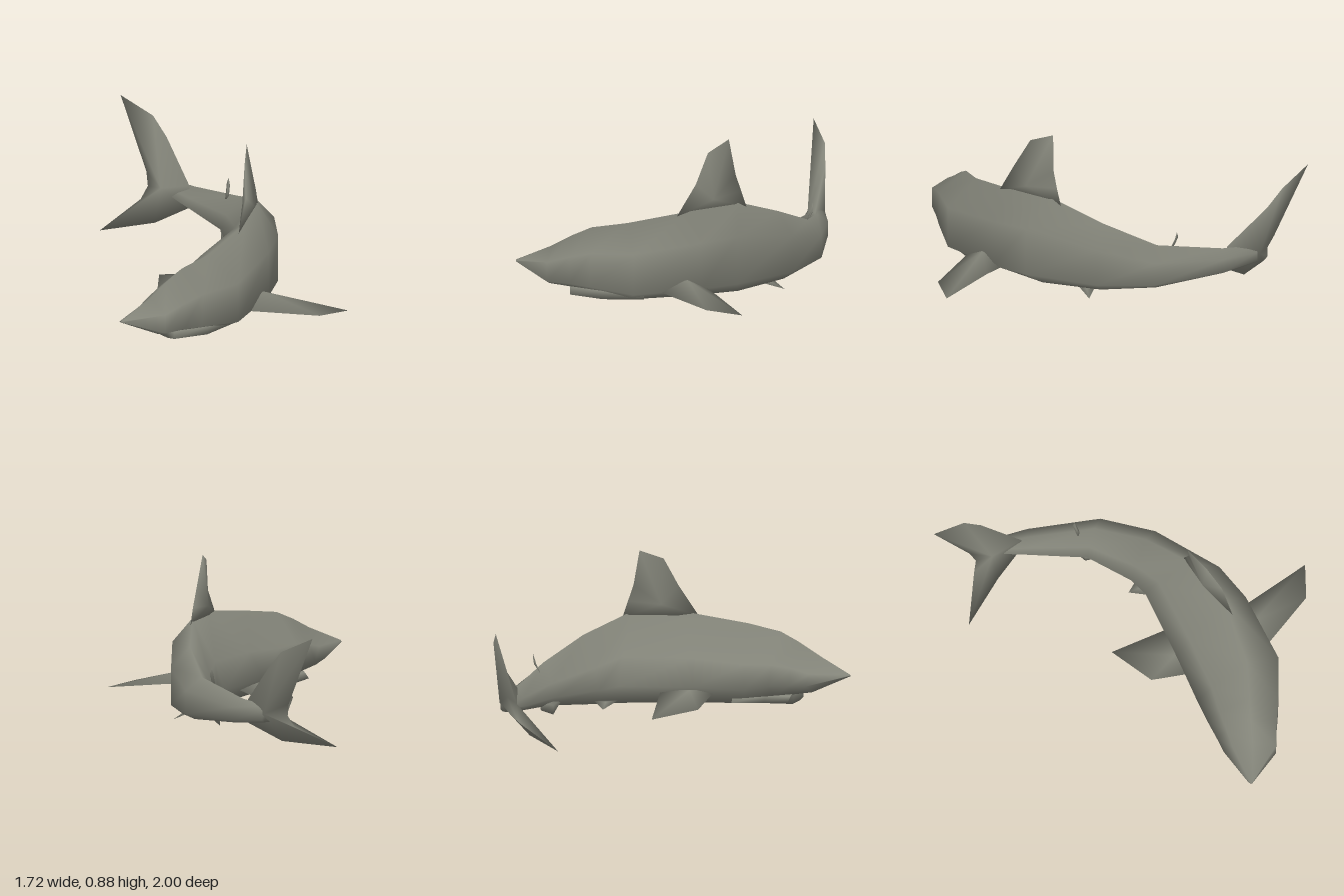
import * as THREE from 'three';

const skin = new THREE.MeshStandardMaterial({ color: 0x828378 });
skin.name = 'grey skin';

function mesh(name, positions, indices) {
  const g = new THREE.BufferGeometry();
  g.setAttribute('position', new THREE.Float32BufferAttribute(positions, 3));
  g.setIndex(indices);
  g.computeVertexNormals();
  const m = new THREE.Mesh(g, skin);
  m.name = name;
  return m;
}

// Sections follow the bend of the swimming body:
// inner x, z, outer x, z, top y, sideways lean of the ridge, bottom y
const bodySections = [
  [-0.10, 0.99, -0.085, 1.0, 0.23, 0, 0.22],
  [-0.11, 0.75, 0.13, 0.90, 0.32, 0.1, 0.125],
  [-0.10, 0.66, 0.20, 0.795, 0.38, 0.15, 0.11],
  [-0.09, 0.55, 0.27, 0.70, 0.43, 0.2, 0.09],
  [-0.07, 0.42, 0.40, 0.50, 0.46, 0.22, 0.05],
  [-0.03, 0.15, 0.43, 0.12, 0.515, 0.4, 0.05],
  [0.02, -0.25, 0.40, -0.10, 0.53, 0.22, 0.05],
  [0.0, -0.36, 0.23, -0.48, 0.43, 0.2, 0.06],
  [-0.13, -0.60, 0.03, -0.72, 0.32, 0.1, 0.09],
  [-0.41, -0.79, -0.33, -0.89, 0.26, 0, 0.13],
  [-0.57, -0.89, -0.53, -0.945, 0.25, 0, 0.16],
];
const jawSections = [
  [-0.06, 0.66, 0.13, 0.765, 0.14, 0, 0.055],
  [-0.04, 0.53, 0.27, 0.63, 0.14, 0, 0.05],
  [-0.01, 0.36, 0.35, 0.42, 0.13, 0, 0.05],
];

function loft(name, sections) {
  const pos = [], idx = [];
  // Ring as (sideways -1 inner .. 1 outer, height 0 .. 1)
  const rim = [[1, 0.68], [1, 0.13], [0.5, 0], [-0.4, 0], [-1, 0.24], [-0.65, 0.55]];
  for (const [ix, iz, ox, oz, top, lean, bottom] of sections) {
    for (const [u, v] of [[lean, 1], ...rim]) {
      const t = (u + 1) / 2;
      pos.push(ix + (ox - ix) * t, bottom + (top - bottom) * v, iz + (oz - iz) * t);
    }
  }
  const n = rim.length + 1, last = (sections.length - 1) * n;
  for (let s = 0; s < sections.length - 1; s++) {
    for (let i = 0; i < n; i++) {
      const a = s * n + i, b = s * n + (i + 1) % n;
      idx.push(a, b, a + n, b, b + n, a + n);
    }
  }
  for (let i = 1; i < n - 1; i++) {
    idx.push(0, i + 1, i, last, last + i, last + i + 1);
  }
  return mesh(name, pos, idx);
}

// Smooth fin with a thin rim, thickest at the core point
function fin(name, rim, core, thickness) {
  const idx = [], n = rim.length;
  const pos = rim.flat();
  for (const side of [1, -1]) pos.push(...core.map((v, i) => v + side * thickness[i]));
  // Find which way the rim turns, so both faces point outwards
  const area = new THREE.Vector3(), c = new THREE.Vector3(...core);
  rim.forEach((p, i) => {
    const a = new THREE.Vector3(...p).sub(c);
    area.add(a.cross(new THREE.Vector3(...rim[(i + 1) % n]).sub(c)));
  });
  const along = area.dot(new THREE.Vector3(...thickness)) > 0;
  const front = along ? n : n + 1, back = along ? n + 1 : n;
  for (let i = 0; i < n; i++) {
    const j = (i + 1) % n;
    idx.push(front, i, j, back, j, i);
  }
  return mesh(name, pos, idx);
}

export function createModel() {
  const shark = new THREE.Group();
  shark.name = 'shark';
  shark.add(loft('body', bodySections), loft('lowerJaw', jawSections));

  shark.add(fin('dorsalFin', [
    [0.29, 0.49, 0.21], [0.29, 0.66, 0.1], [0.25, 0.82, 0.015],
    [0.21, 0.875, -0.12], [0.235, 0.68, -0.15], [0.24, 0.59, -0.18], [0.24, 0.5, -0.21],
  ], [0.265, 0.57, 0.0], [0.035, 0, 0]));

  shark.add(fin('leftPectoralFin', [
    [0.36, 0.11, 0.36], [0.76, 0.08, 0.21], [0.86, 0.06, 0.04],
    [0.53, 0.10, 0.07], [0.36, 0.11, 0.08],
  ], [0.43, 0.135, 0.2], [0, 0.035, 0]));

  shark.add(fin('rightPectoralFin', [
    [0.04, 0.13, 0.28], [-0.2, 0.075, 0.16], [-0.29, 0.045, -0.1], [0.05, 0.13, -0.02],
  ], [-0.03, 0.12, 0.13], [0, 0.03, 0]));

  // Tail with a tall upper lobe and a forward-swept lower lobe
  shark.add(fin('tailFin', [
    [-0.40, 0.26, -0.84], [-0.58, 0.47, -0.965], [-0.67, 0.57, -0.995], [-0.86, 0.66, -1.0],
    [-0.68, 0.27, -0.92], [-0.66, 0.2, -0.89], [-0.69, 0.13, -0.86], [-0.85, 0.0, -0.66],
    [-0.58, 0.035, -0.79], [-0.40, 0.13, -0.84],
  ], [-0.56, 0.21, -0.905], [-0.015, 0, 0.045]));

  // Small rear fins
  shark.add(fin('rearDorsalFin', [
    [-0.115, 0.28, -0.69], [-0.12, 0.35, -0.725], [-0.13, 0.39, -0.73],
    [-0.14, 0.36, -0.73], [-0.135, 0.28, -0.69],
  ], [-0.128, 0.33, -0.718], [0, 0, 0.006]));
  shark.add(fin('leftPelvicFin', [
    [0.2, 0.07, -0.27], [0.24, 0.02, -0.43], [0.13, 0.07, -0.38],
  ], [0.19, 0.055, -0.35], [0, 0.01, 0]));
  shark.add(fin('rightPelvicFin', [
    [0.06, 0.08, -0.25], [-0.03, 0.05, -0.34], [0.06, 0.08, -0.38],
  ], [0.03, 0.07, -0.32], [0, 0.01, 0]));
  shark.add(fin('analFin', [
    [-0.04, 0.12, -0.56], [-0.13, 0.05, -0.62], [-0.16, 0.08, -0.69], [-0.17, 0.13, -0.7],
  ], [-0.11, 0.1, -0.64], [0.02, 0, -0.02]));
  return shark;
}
